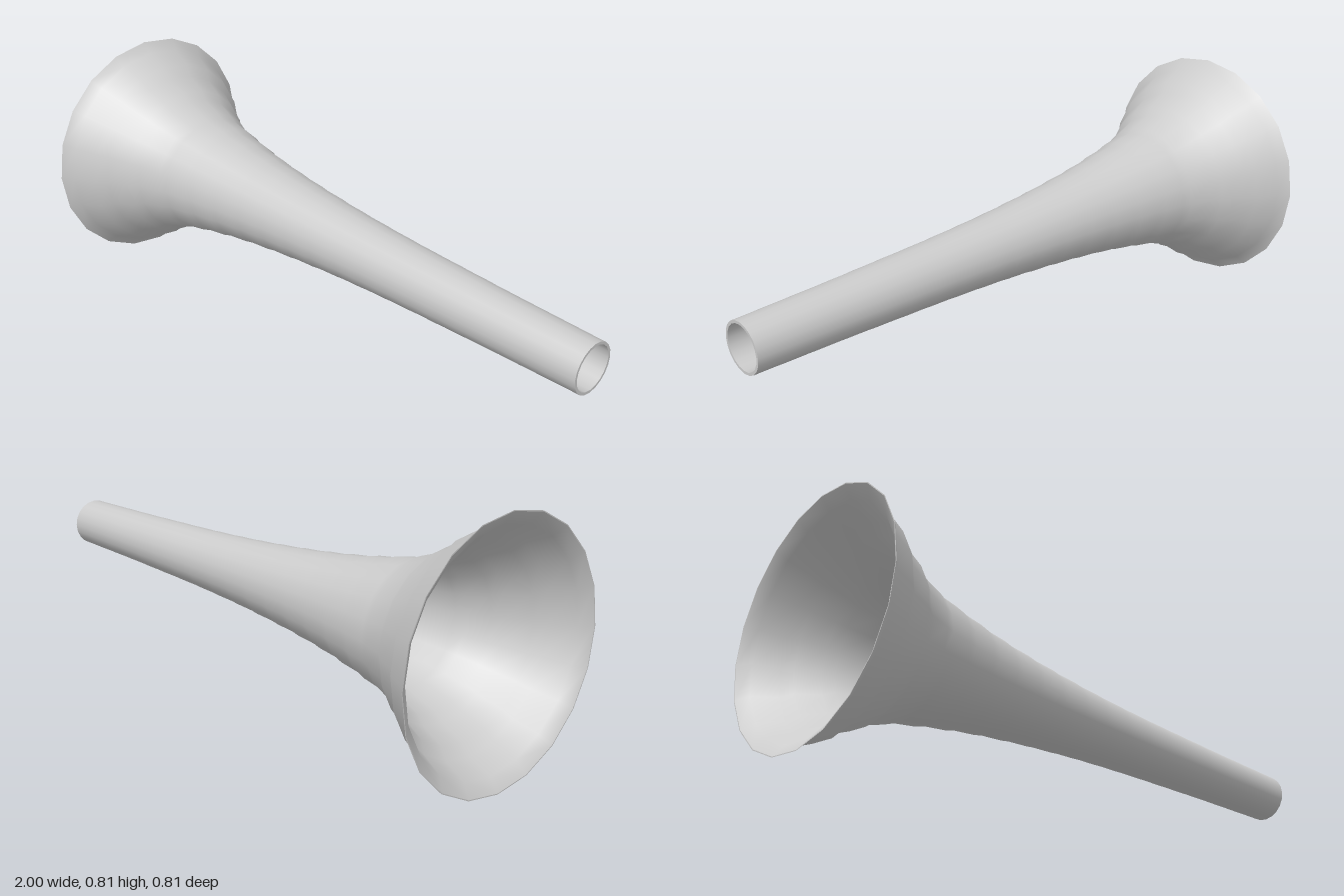
import * as THREE from 'three';

const SIDES = 20;
const CENTRE_Y = 0.405;
const WALL = 0.009;

// Radius at the start of each rib, from the bell to the mouthpiece end
const RADII = [0.405, 0.336, 0.268, 0.216, 0.191, 0.171, 0.154, 0.141, 0.13, 0.121,
  0.113, 0.107, 0.102, 0.098, 0.095, 0.092, 0.089, 0.087, 0.085, 0.083];

// Each rib is a short steep step followed by a longer shallow cone
function ribProfile(inset) {
  const count = RADII.length - 1;
  const step = 2 / count;
  const points = [];
  for (let i = 0; i < count; i++) {
    const x = -1 + i * step;
    const r = RADII[i];
    const drop = r - RADII[i + 1];
    points.push(new THREE.Vector2(r - inset, x));
    points.push(new THREE.Vector2(r - drop * 0.5 - inset, x + step * 0.28));
  }
  points.push(new THREE.Vector2(RADII[count] - inset, 1));
  return points;
}

export function createModel() {
  const model = new THREE.Group();
  model.name = 'horn';
  const material = new THREE.MeshStandardMaterial({ color: 0xcccccc, side: THREE.DoubleSide });

  const addLathe = (name, points) => {
    const mesh = new THREE.Mesh(new THREE.LatheGeometry(points, SIDES), material);
    mesh.name = name;
    mesh.rotation.z = -Math.PI / 2;
    mesh.position.y = CENTRE_Y;
    model.add(mesh);
  };

  // Outer and inner walls of the flared tube
  const outer = ribProfile(0);
  const inner = ribProfile(WALL);
  inner[0].x = outer[0].x - 0.003;
  addLathe('outerWall', outer);
  addLathe('innerWall', inner.slice().reverse());

  // Thin rings closing the wall at both ends
  addLathe('bellRim', [inner[0], outer[0]]);
  addLathe('mouthpieceRim', [outer.at(-1), inner.at(-1)]);

  return model;
}
